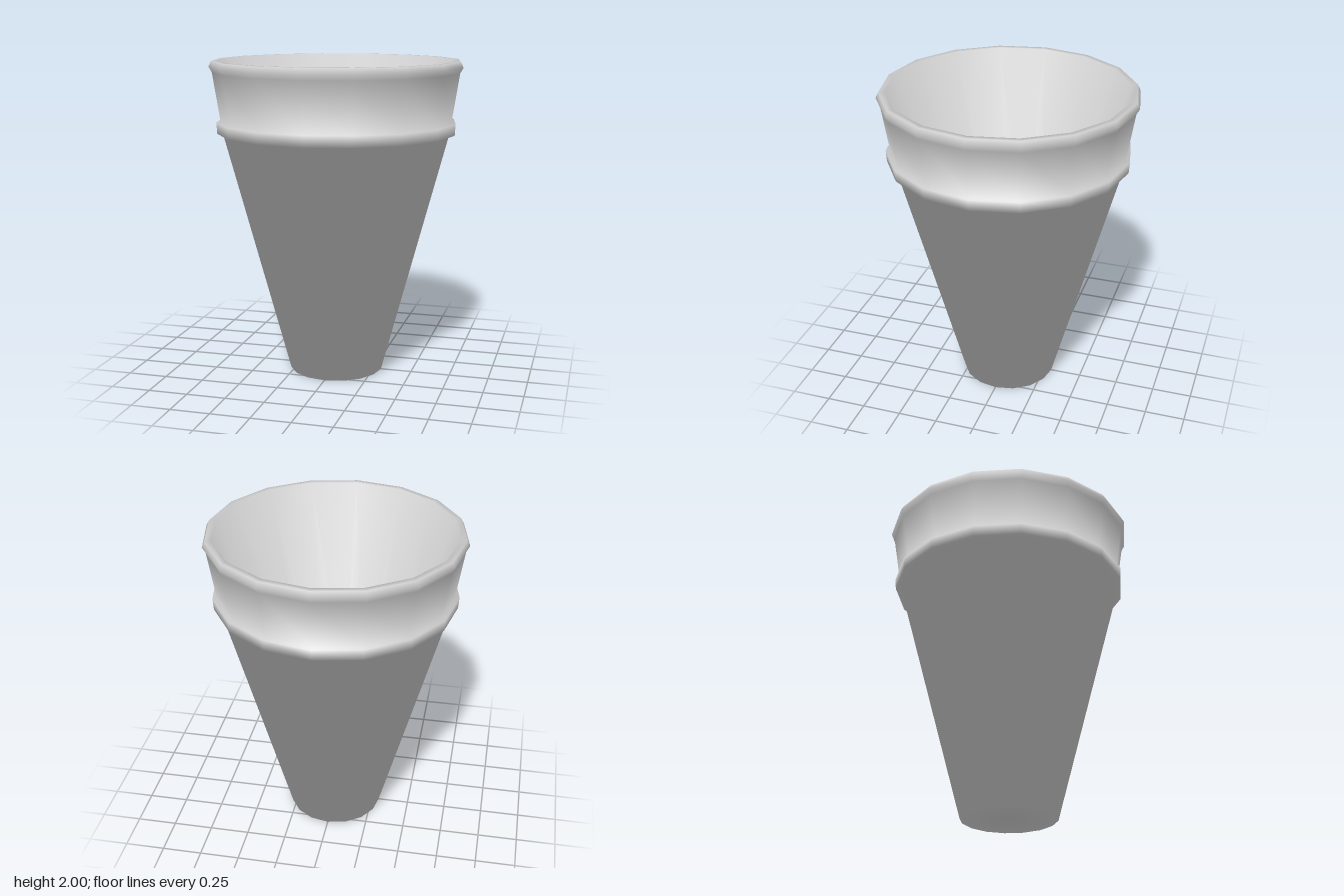
import * as THREE from 'three';

const SIDES = 16;

// Outer wall, from the centre of the base up to the rolled rim: [radius, height]
const outer = [
  [0, 0], [0.3, 0],        // base
  [0.715, 1.55],           // tapered body
  [0.75, 1.55], [0.755, 1.62], // raised band
  [0.727, 1.62],           // foot of the collar
  [0.775, 1.93],           // collar under the rim
  [0.795, 1.965], [0.778, 2], // rolled rim
];

// Inner wall, from the rim down to the centre of the floor
const inner = [[0.74, 2], [0.33, 0.65], [0, 0.65]];

// Lathe whose normals average the neighbouring faces equally, whatever their size
function softLathe(points, sides) {
  const geometry = new THREE.LatheGeometry(points, sides);
  const faces = points.slice(1).map((p, i) =>
    new THREE.Vector2(p.y - points[i].y, points[i].x - p.x).normalize());
  const soft = points.map((p, i) => {
    const a = faces[Math.max(i - 1, 0)], b = faces[Math.min(i, faces.length - 1)];
    return a.clone().add(b).normalize();
  });
  // The first and last points sit on the axis and point straight along it
  soft[0].set(0, -1);
  soft[soft.length - 1].set(0, 1);
  const normal = geometry.attributes.normal;
  for (let s = 0; s <= sides; s++) {
    const angle = (s / sides) * Math.PI * 2;
    soft.forEach((n, i) => normal.setXYZ(
      s * points.length + i, n.x * Math.sin(angle), n.y, n.x * Math.cos(angle)));
  }
  return geometry;
}

export function createModel() {
  const group = new THREE.Group();
  group.name = 'cup';

  // One continuous smooth-shaded shell of revolution
  const profile = [...outer, ...inner].map(([r, y]) => new THREE.Vector2(r, y));
  const shell = new THREE.Mesh(
    softLathe(profile, SIDES),
    new THREE.MeshStandardMaterial({ color: 0xcccccc })
  );
  shell.name = 'cupShell';
  group.add(shell);

  return group;
}
